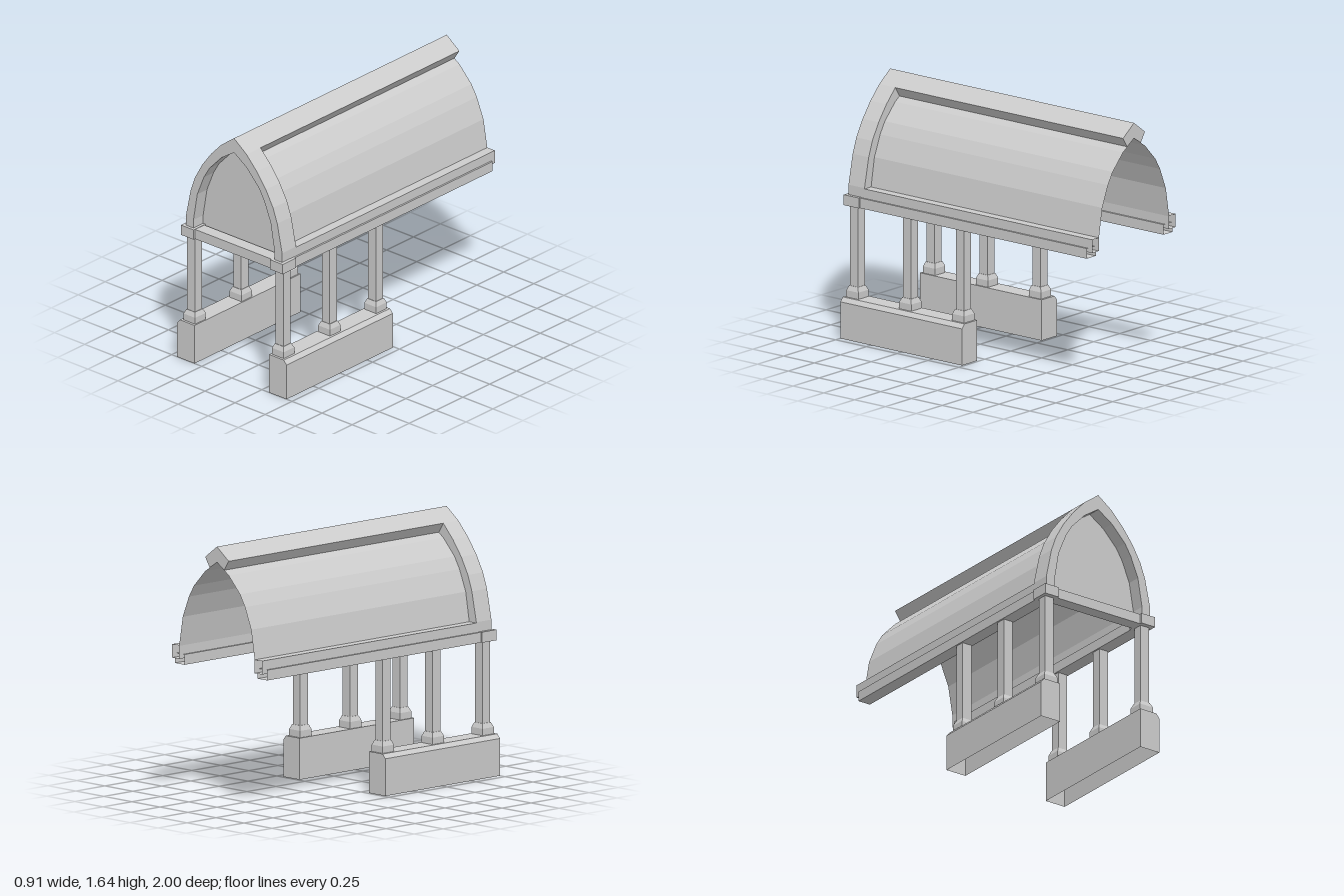
import * as THREE from 'three';

// Half profiles of the pointed arch, from the springing up to the apex
const OUTER = [[0.4, 0.915], [0.4, 0.98], [0.36, 1.17], [0.325, 1.268], [0.265, 1.375], [0.19, 1.475], [0.105, 1.565], [0, 1.643]];
const INNER = [[0.337, 0.89], [0.337, 0.972], [0.305, 1.16], [0.25, 1.295], [0.205, 1.37], [0.105, 1.475], [0, 1.545]];

const mirrored = (half) => [...half, ...half.slice(0, -1).reverse().map(([x, y]) => [-x, y])];
const shapeOf = (pts) => new THREE.Shape(pts.map(([x, y]) => new THREE.Vector2(x, y)));

// Extrude an x-y outline between two z positions
function prism(pts, z0, z1) {
  return new THREE.ExtrudeGeometry(shapeOf(pts), { depth: z1 - z0, bevelEnabled: false }).translate(0, 0, z0);
}

function box(x0, x1, y0, y1, z0, z1) {
  return new THREE.BoxGeometry(x1 - x0, y1 - y0, z1 - z0)
    .translate((x0 + x1) / 2, (y0 + y1) / 2, (z0 + z1) / 2);
}

// Remove the faces that look along a direction, leaving the solid open there
function openSide(geo, dir) {
  const src = geo.index ? geo.toNonIndexed() : geo;
  const p = src.attributes.position;
  const kept = [];
  const t = new THREE.Triangle();
  const n = new THREE.Vector3();
  for (let i = 0; i < p.count; i += 3) {
    t.setFromAttributeAndIndices(p, i, i + 1, i + 2);
    t.getNormal(n);
    if (n.dot(dir) < 0.9) kept.push(...t.a.toArray(), ...t.b.toArray(), ...t.c.toArray());
  }
  const out = new THREE.BufferGeometry();
  out.setAttribute('position', new THREE.Float32BufferAttribute(kept, 3));
  out.computeVertexNormals();
  return out;
}

// Thin sheet sweeping an x-y polyline along z
function sheet(pts, z0, z1) {
  const pos = [];
  for (let i = 0; i < pts.length - 1; i++) {
    const [ax, ay] = pts[i], [bx, by] = pts[i + 1];
    pos.push(ax, ay, z1, ax, ay, z0, bx, by, z0, ax, ay, z1, bx, by, z0, bx, by, z1);
  }
  const geo = new THREE.BufferGeometry();
  geo.setAttribute('position', new THREE.Float32BufferAttribute(pos, 3));
  geo.computeVertexNormals();
  return geo;
}

// Square frustum standing on y0
function frustum(halfTop, halfBottom, y0, y1) {
  return new THREE.CylinderGeometry(halfTop * Math.SQRT2, halfBottom * Math.SQRT2, y1 - y0, 4, 1)
    .rotateY(Math.PI / 4).translate(0, (y0 + y1) / 2, 0);
}

export function createModel() {
  const model = new THREE.Group();
  model.name = 'archedPorch';
  const stone = new THREE.MeshStandardMaterial({ color: 0xcccccc, flatShading: true, side: THREE.DoubleSide });
  stone.name = 'pale grey';

  const add = (parent, name, geo) => {
    const mesh = new THREE.Mesh(geo, stone);
    mesh.name = name;
    parent.add(mesh);
    return mesh;
  };
  const down = new THREE.Vector3(0, -1, 0);
  const back = new THREE.Vector3(0, 0, -1);

  // Vaulted roof, front arch and gable panel
  const inner = mirrored(INNER);
  add(model, 'roofVault', sheet(inner, -1, 0.86));
  const archInner = inner.map(([x, y]) => [x, Math.max(y, 0.915)]);
  add(model, 'frontArch', prism([...mirrored(OUTER), ...archInner.reverse()], 0.85, 0.98));
  add(model, 'gablePanel', new THREE.ShapeGeometry(shapeOf(inner)).translate(0, 0, 0.89));

  // Ridge cap running back from the arch
  add(model, 'ridgeCap', prism(
    [[0.105, 1.565], [0, 1.643], [-0.105, 1.565], [-0.065, 1.503], [0, 1.545], [0.065, 1.503]], -1, 0.85));

  // Lintel across the front
  add(model, 'frontLintel', box(-0.32, 0.32, 0.85, 0.915, 0.9, 0.985));

  for (const s of [-1, 1]) {
    const side = new THREE.Group();
    side.name = s > 0 ? 'leftSide' : 'rightSide';
    model.add(side);
    const span = (a, b) => (s > 0 ? [a, b] : [-b, -a]);

    // Low wall with a chamfered outer top edge
    const wall = [[0.31, 0], [0.455, 0], [0.455, 0.235], [0.432, 0.262], [0.31, 0.262]].map(([x, y]) => [s * x, y]);
    add(side, 'lowWall', openSide(prism(wall, 0.012, 1), down));

    // Side beam, eave strip and corner block
    add(side, 'sideBeam', openSide(box(...span(0.325, 0.412), 0.85, 0.915, -0.965, 0.9), back));
    add(side, 'eaveStrip', openSide(box(...span(0.337, 0.4), 0.89, 0.975, -1, 0.86), back));
    add(side, 'cornerBlock', box(...span(0.318, 0.423), 0.85, 0.917, 0.877, 1));

    // Columns on flared square bases
    for (const z of [0.935, 0.505, 0.075]) {
      const column = new THREE.Group();
      column.name = 'column';
      column.position.set(s * 0.368, 0, z);
      side.add(column);
      add(column, 'columnShaft', box(-0.033, 0.033, 0.33, 0.852, -0.033, 0.033));
      add(column, 'columnFlare', frustum(0.036, 0.049, 0.305, 0.335));
      add(column, 'columnBase', box(-0.049, 0.049, 0.262, 0.305, -0.049, 0.049));
    }
  }
  return model;
}
